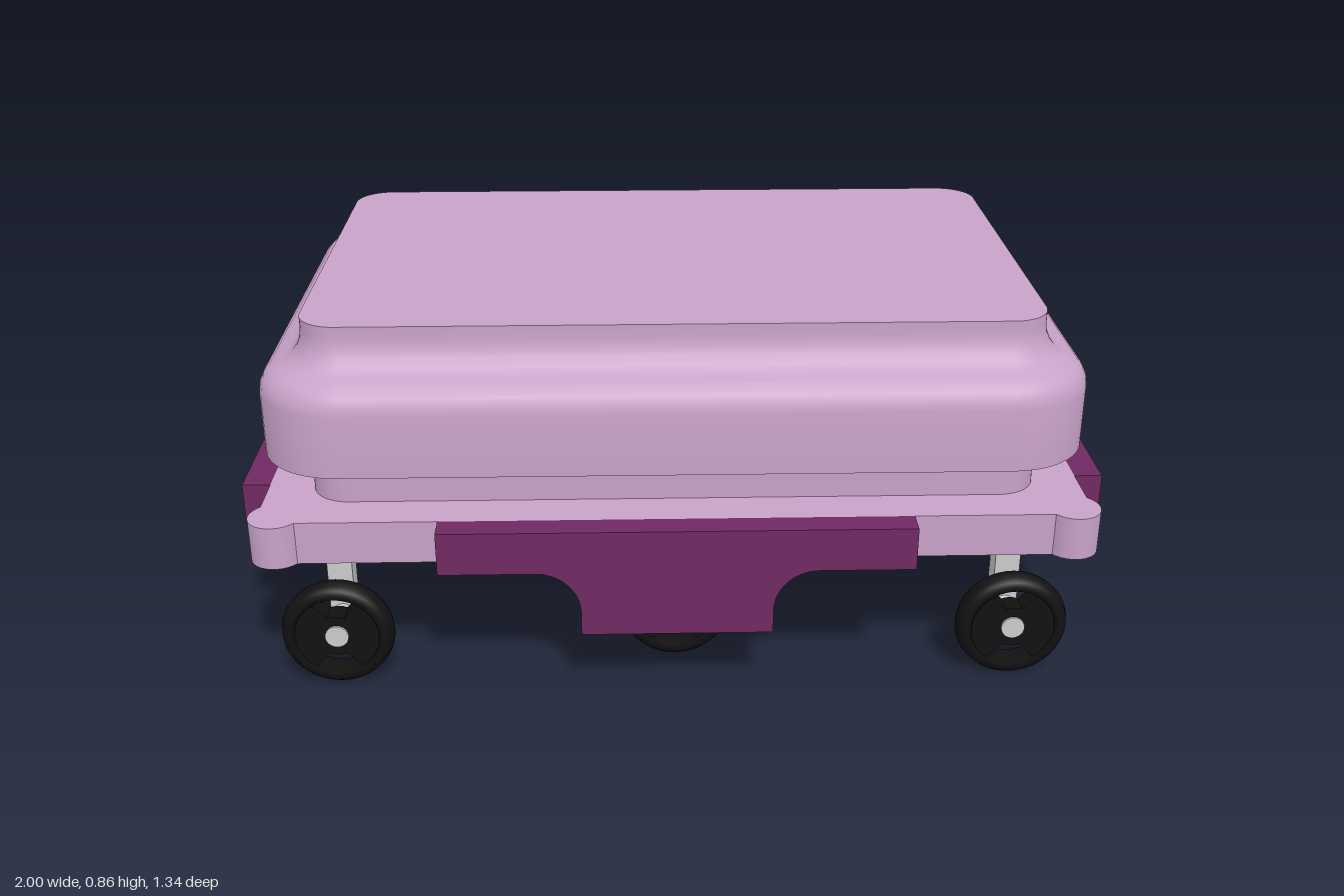
import * as THREE from 'three';
import { toCreasedNormals } from 'three/addons/utils/BufferGeometryUtils.js';

const mat = (color) => new THREE.MeshStandardMaterial({ color });
const V = (x, y) => new THREE.Vector2(x, y);

function add(parent, name, geometry, material) {
  const mesh = new THREE.Mesh(geometry, material);
  mesh.name = name;
  parent.add(mesh);
  return mesh;
}

function extrude(shape, depth, options = {}) {
  const g = new THREE.ExtrudeGeometry(shape, { depth, bevelEnabled: false, curveSegments: 16, ...options });
  return toCreasedNormals(g, 0.6);
}

// Joins equal loops of points into walls, optionally closing both ends
function loft(loops, capped) {
  const n = loops[0].length;
  const index = [];
  for (let l = 0; l < loops.length - 1; l++) {
    for (let i = 0; i < n; i++) {
      const a = l * n + i, b = l * n + (i + 1) % n;
      index.push(a, b, b + n, a, b + n, a + n);
    }
  }
  if (capped) {
    const top = (loops.length - 1) * n;
    for (let i = 1; i < n - 1; i++) index.push(0, i + 1, i, top, top + i, top + i + 1);
  }
  const g = new THREE.BufferGeometry();
  g.setAttribute('position', new THREE.Float32BufferAttribute(loops.flat(2), 3));
  g.setIndex(index);
  return toCreasedNormals(g.toNonIndexed(), 0.6);
}

// Horizontal rounded rectangle, inset from the widest outline of the lid
function roundedLoop(inset, y) {
  const r = 0.19 - inset, steps = 12, loop = [];
  for (let k = 0; k < 4; k++) {
    const sx = k === 0 || k === 3 ? 1 : -1, sz = k < 2 ? 1 : -1;
    for (let i = 0; i <= steps; i++) {
      const a = (k + i / steps) * Math.PI / 2;
      loop.push([sx * 0.74 + r * Math.cos(a), y, -(sz * 0.42 + r * Math.sin(a))]);
    }
  }
  return loop;
}

// Platform outline with a round lug at each corner
function platformShape() {
  const arc = [], a0 = Math.atan2(-0.0447, 0.04), a1 = Math.atan2(0.035, -0.0487);
  for (let i = 0; i <= 16; i++) {
    const a = a0 + (a1 - a0) * i / 16;
    arc.push(V(0.895 + 0.06 * Math.cos(a), 0.575 + 0.06 * Math.sin(a)));
  }
  const mirror = (sx, sy) => arc.map((p) => V(p.x * sx, p.y * sy));
  return new THREE.Shape([
    ...arc, ...mirror(-1, 1).reverse(), ...mirror(-1, -1), ...mirror(1, -1).reverse(),
  ]);
}

// Long skirt: a bar with a central tab that flares into it
function longSkirtShape() {
  const s = new THREE.Shape();
  s.moveTo(-0.53, 0.437);
  s.lineTo(-0.53, 0.335);
  s.lineTo(-0.315, 0.335);
  s.absarc(-0.315, 0.235, 0.1, Math.PI / 2, 0, true);
  s.lineTo(-0.215, 0.178);
  s.lineTo(0.215, 0.178);
  s.lineTo(0.215, 0.235);
  s.absarc(0.315, 0.235, 0.1, Math.PI, Math.PI / 2, true);
  s.lineTo(0.53, 0.335);
  s.lineTo(0.53, 0.437);
  return s;
}

// Short skirt: a bar with a tapered tab
function shortSkirtShape() {
  return new THREE.Shape([
    V(-0.42, 0.437), V(-0.42, 0.335), V(-0.21, 0.335), V(-0.13, 0.178),
    V(0.13, 0.178), V(0.21, 0.335), V(0.42, 0.335), V(0.42, 0.437),
  ]);
}

// Wheel disc with an opening above and below the hub
function wheelGeometry() {
  const s = new THREE.Shape();
  s.absarc(0, 0, 0.105, 0, Math.PI * 2);
  for (const mid of [Math.PI / 2, -Math.PI / 2]) {
    const hole = new THREE.Path();
    hole.absarc(0, 0, 0.098, mid - 0.58, mid + 0.58, false);
    hole.absarc(0, 0, 0.05, mid + 0.4, mid - 0.4, true);
    hole.closePath();
    s.holes.push(hole);
  }
  const disc = extrude(s, 0.05, { curveSegments: 48 });
  disc.translate(0, 0, -0.025);
  return disc;
}

export function createModel() {
  const model = new THREE.Group();
  model.name = 'wheeledCart';
  const lilac = mat(0xc8a2c8), plum = mat(0x702963), black = mat(0x111111), grey = mat(0xcccccc);

  // Platform
  const platform = extrude(platformShape(), 0.102);
  platform.rotateX(-Math.PI / 2);
  add(model, 'platform', platform, lilac).position.y = 0.335;

  // Body neck and domed lid
  add(model, 'neck', loft([roundedLoop(0.1, 0.437), roundedLoop(0.1, 0.55)], true), lilac);
  const profile = [[0, 0.545], [0, 0.69], [0.003, 0.71], [0.012, 0.728], [0.025, 0.742], [0.042, 0.752],
    [0.06, 0.76], [0.077, 0.772], [0.09, 0.79], [0.098, 0.81], [0.101, 0.83], [0.101, 0.86]];
  add(model, 'lid', loft(profile.map(([d, y]) => roundedLoop(d, y)), true), lilac);

  // Skirts on the front and back
  const longSkirt = extrude(longSkirtShape(), 0.06);
  for (const turn of [0, Math.PI]) {
    const skirt = new THREE.Group();
    skirt.name = turn ? 'backSkirt' : 'frontSkirt';
    skirt.rotation.y = turn;
    add(skirt, 'skirtPanel', longSkirt, plum).position.z = 0.61;
    model.add(skirt);
  }

  // Skirts on the sides, each with a sloped recess
  const rim = [[-0.085, 0.212], [0.085, 0.212], [0.135, 0.302], [-0.135, 0.302]];
  const floor = [[-0.073, 0.224], [0.073, 0.224], [0.105, 0.283], [-0.105, 0.283]];
  const face = shortSkirtShape();
  face.holes.push(new THREE.Path(rim.map(([x, y]) => V(x, y))));
  const facePanel = extrude(face, 0.03), backPanel = extrude(shortSkirtShape(), 0.035);
  const recess = loft([rim.map(([x, y]) => [x, y, 0.03]), floor.map(([x, y]) => [x, y, 0.001])], false);
  for (const side of [-1, 1]) {
    const skirt = new THREE.Group();
    skirt.name = side > 0 ? 'leftSkirt' : 'rightSkirt';
    skirt.rotation.y = side * Math.PI / 2;
    add(skirt, 'skirtBacking', backPanel, plum).position.z = 0.935;
    add(skirt, 'skirtFace', facePanel, plum).position.z = 0.97;
    add(skirt, 'skirtRecess', recess, plum).position.z = 0.97;
    model.add(skirt);
  }

  // Six wheels, each on a post and axle; the middle pair sits further in
  const disc = wheelGeometry();
  const tyre = new THREE.LatheGeometry([
    V(0.097, -0.03), V(0.108, -0.03), V(0.118, -0.026), V(0.126, -0.016), V(0.13, 0),
    V(0.126, 0.016), V(0.118, 0.026), V(0.108, 0.03), V(0.097, 0.03), V(0.097, -0.03),
  ], 48).rotateX(Math.PI / 2);
  const axle = new THREE.CylinderGeometry(0.027, 0.027, 0.13, 24).rotateX(Math.PI / 2);
  const post = new THREE.BoxGeometry(0.058, 0.235, 0.054);
  for (const x of [-0.78, 0, 0.78]) {
    for (const side of [-1, 1]) {
      const unit = new THREE.Group();
      unit.name = 'wheelUnit';
      unit.position.set(x, 0.13, side * (x === 0 ? 0.46 : 0.56));
      unit.rotation.y = side > 0 ? 0 : Math.PI;
      add(unit, 'wheel', disc, black);
      add(unit, 'tyre', tyre, black);
      add(unit, 'axle', axle, grey).position.z = -0.035;
      add(unit, 'post', post, grey).position.set(0, 0.0875, -0.1);
      model.add(unit);
    }
  }
  return model;
}
